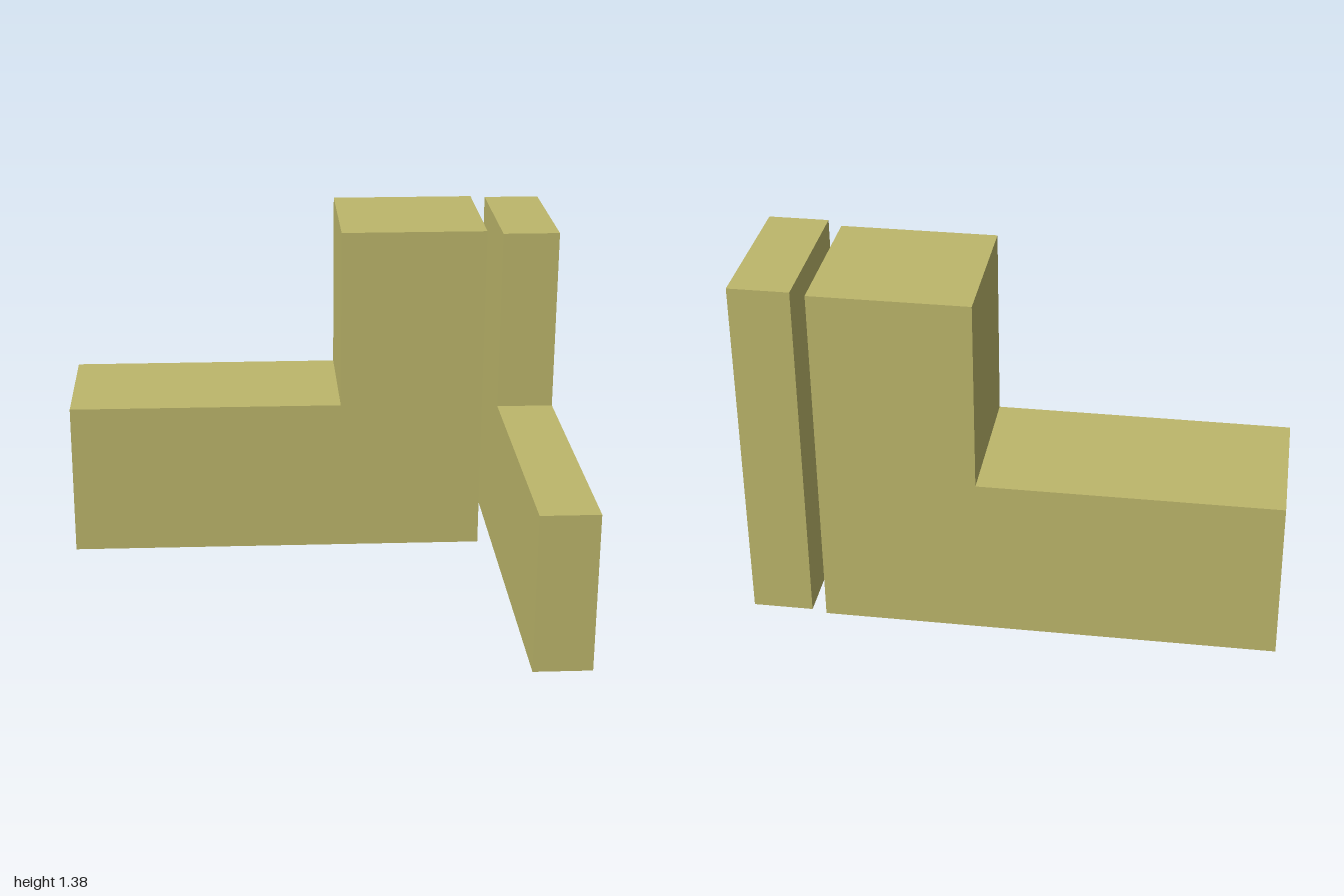
import * as THREE from 'three';

// L-shaped block: low arm starting at x = 0, tall end at x = length
function lBlock(name, depth, material) {
  const length = 1.713, step = 1.123, low = 0.635, high = 1.375;
  const profile = new THREE.Shape([
    [0, 0], [length, 0], [length, high], [step, high], [step, low], [0, low],
  ].map(([x, y]) => new THREE.Vector2(x, y)));
  const geometry = new THREE.ExtrudeGeometry(profile, { depth, bevelEnabled: false });
  const mesh = new THREE.Mesh(geometry, material);
  mesh.name = name;
  return mesh;
}

export function createModel() {
  const group = new THREE.Group();
  group.name = 'cornerBlocks';
  const khaki = new THREE.MeshStandardMaterial({ color: 0xbdb76b });
  khaki.name = 'khaki';

  // Thick block along the back
  const backBlock = lBlock('backBlock', 0.565, khaki);
  backBlock.position.set(-1, 0, -0.865);

  // Thin block along the left side, tall end at the back
  const sideBlock = lBlock('sideBlock', 0.228, khaki);
  sideBlock.rotation.y = Math.PI / 2;
  sideBlock.position.set(0.772, 0, 0.865);

  group.add(backBlock, sideBlock);
  return group;
}
